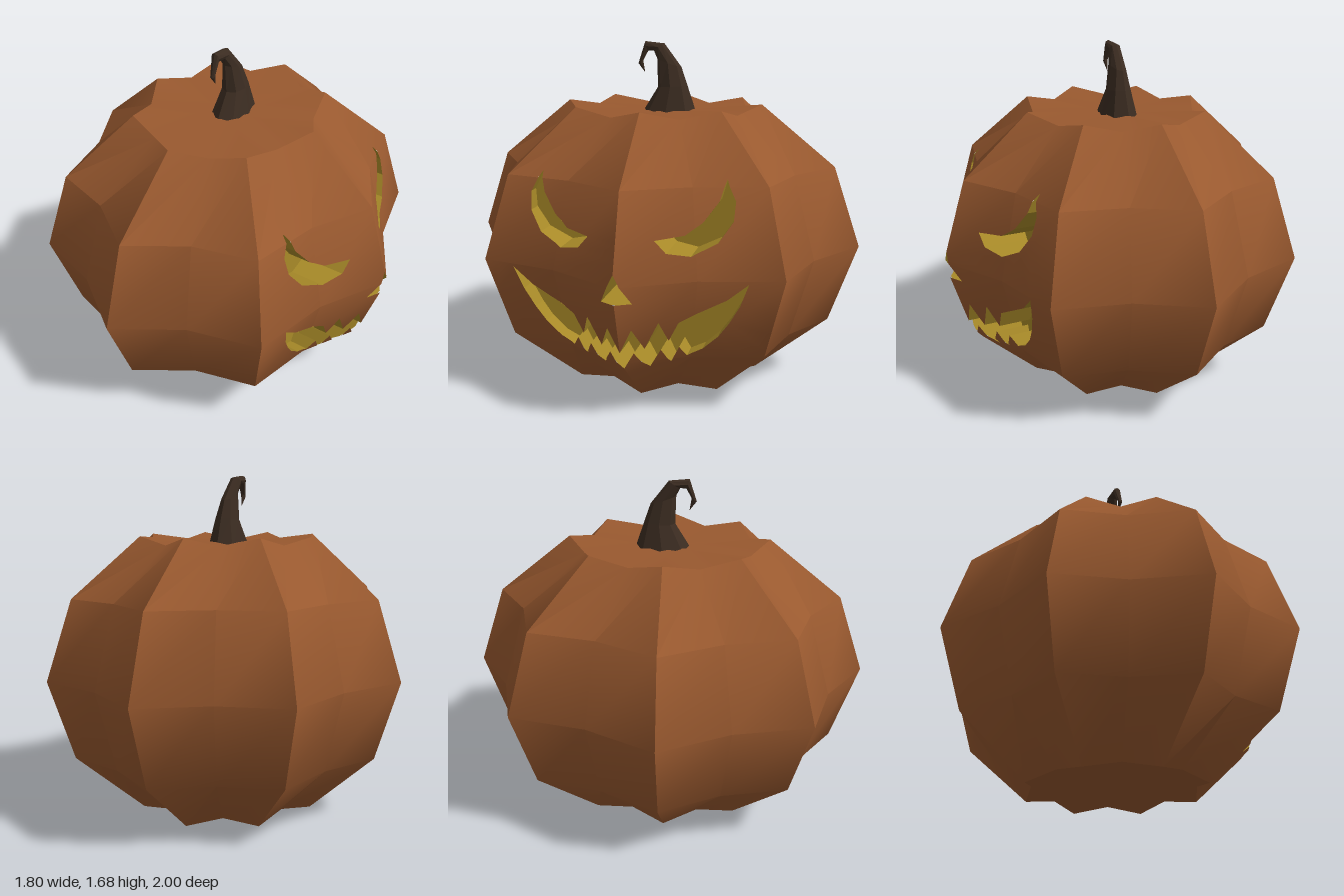
import * as THREE from 'three';
import { toCreasedNormals } from 'three/addons/utils/BufferGeometryUtils.js';

const SEG = 16, FLOOR = 0.55;

function fromPositions(pos, nor) {
  const g = new THREE.BufferGeometry();
  g.setAttribute('position', new THREE.Float32BufferAttribute(pos, 3));
  if (nor) g.setAttribute('normal', new THREE.Float32BufferAttribute(nor, 3));
  else g.computeVertexNormals();
  return g;
}

// Skin a stack of rings (listed bottom to top), closing both ends with fans
function loft(rings, bottom, top) {
  const pos = [];
  const tri = (...p) => p.forEach((v) => pos.push(...v));
  const n = rings[0].length, last = rings[rings.length - 1];
  for (let k = 0; k < n; k++) {
    const m = (k + 1) % n;
    tri(bottom, rings[0][m], rings[0][k]);
    for (let i = 0; i < rings.length - 1; i++) {
      const a = rings[i], b = rings[i + 1];
      tri(a[k], a[m], b[m]);
      tri(a[k], b[m], b[k]);
    }
    tri(last[k], last[m], top);
  }
  return fromPositions(pos);
}

// Lobed shell: eight ridges with shallow valleys between them
function bodyGeometry() {
  const profile = [[0.5, 0, 0.03], [0.865, 0.3, 0.3], [1, 0.695, 0.695], [0.865, 1.09, 1.09], [0.5, 1.385, 1.345]];
  const rings = profile.map(([r, ridgeY, valleyY]) =>
    Array.from({ length: SEG }, (_, k) => {
      const a = (k / SEG) * Math.PI * 2, valley = k % 2;
      const rr = r * (valley ? 0.868 : 1);
      return [0.907 * rr * Math.sin(a), valley ? valleyY : ridgeY, rr * Math.cos(a)];
    }));
  return toCreasedNormals(loft(rings, [0, 0.03, 0], [0, 1.34, 0]), 0.58);
}

// Carved outlines, as (z, y) pairs on the +x side
const mirror = (pts) => pts.map(([z, y]) => [-z, y]);
const eye = [[0.43, 1.12], [0.405, 1.03], [0.34, 0.94], [0.27, 0.89], [0.15, 0.877], [0.2, 0.82], [0.3, 0.8],
  [0.41, 0.855], [0.47, 0.945], [0.475, 1.03]];
const nose = [[0, 0.75], [0.07, 0.61], [-0.07, 0.61]];
const upperLip = [[0.455, 0.6], [0.245, 0.49], [0.2, 0.4], [0.165, 0.5], [0.1, 0.37], [0.055, 0.475]];
const lowerLip = [[0.055, 0.35], [0.107, 0.255], [0.165, 0.355], [0.2, 0.28], [0.24, 0.36], [0.27, 0.31],
  [0.34, 0.345], [0.41, 0.41], [0.46, 0.48], [0.51, 0.57]];
const mouth = [[0.55, 0.68], ...upperLip, [0, 0.36], ...mirror(upperLip).reverse(), [-0.55, 0.68],
  ...mirror(lowerLip).reverse(), [0, 0.255], ...lowerLip];
const carvings = { leftEye: mirror(eye), rightEye: eye, nose, mouth };

// Work in (u, v) = (-z, y), as seen when looking at the carved side
const toVectors = (pts) => pts.map(([z, y]) => new THREE.Vector2(-z, y));
const cross = (a, b, p) => (b[0] - a[0]) * (p[1] - a[1]) - (b[1] - a[1]) * (p[0] - a[0]);

function clip(poly, tri) {
  for (let e = 0; e < 3; e++) {
    const a = tri[e], b = tri[(e + 1) % 3], out = [];
    poly.forEach((p, i) => {
      const q = poly[(i + 1) % poly.length], dp = cross(a, b, p), dq = cross(a, b, q);
      if (dp >= 0) out.push(p);
      if (dp * dq < 0) {
        const t = dp / (dp - dq);
        out.push([p[0] + (q[0] - p[0]) * t, p[1] + (q[1] - p[1]) * t]);
      }
    });
    poly = out;
    if (poly.length < 3) return [];
  }
  return poly;
}

function shapeTriangles(shape) {
  const g = new THREE.ShapeGeometry(shape).toNonIndexed(), p = g.attributes.position, out = [];
  for (let i = 0; i < p.count; i += 3) out.push([0, 1, 2].map((j) => [p.getX(i + j), p.getY(i + j)]));
  return out;
}

// Cut the outlines out of the shell; also return a lookup for the surface's x
function carve(body) {
  const mask = new THREE.Shape(toVectors([[1.2, -0.2], [-1.2, -0.2], [-1.2, 1.6], [1.2, 1.6]]));
  Object.values(carvings).forEach((pts) => mask.holes.push(new THREE.Path(toVectors(pts))));
  const keep = shapeTriangles(mask);
  const P = body.attributes.position.array, N = body.attributes.normal.array;
  const pos = [], nor = [], front = [];
  const weights = (t, p) => {
    const area = cross(t[0], t[1], t[2]);
    return [cross(t[1], t[2], p) / area, cross(t[2], t[0], p) / area, cross(t[0], t[1], p) / area];
  };
  const blend = (arr, o, w) => [0, 1, 2].map((c) => arr[o + c] * w[0] + arr[o + 3 + c] * w[1] + arr[o + 6 + c] * w[2]);
  for (let o = 0; o < P.length; o += 9) {
    const [cx, cy, cz] = blend(P, o, [1 / 3, 1 / 3, 1 / 3]);
    if (cx / 0.907 < Math.abs(cz) || cy < 0.05 || cy > 1.3) {
      pos.push(...P.slice(o, o + 9));
      nor.push(...N.slice(o, o + 9));
      continue;
    }
    const t = [0, 3, 6].map((j) => [-P[o + j + 2], P[o + j + 1]]);
    front.push({ t, o });
    for (const k of keep) {
      const poly = clip(k, t);
      for (let i = 1; i < poly.length - 1; i++) {
        const fan = [poly[0], poly[i], poly[i + 1]];
        if (cross(...fan) < 1e-9) continue;
        for (const p of fan) {
          const w = weights(t, p);
          pos.push(...blend(P, o, w));
          nor.push(...blend(N, o, w));
        }
      }
    }
  }
  const surfaceX = (p) => {
    for (const { t, o } of front) {
      const w = weights(t, p);
      if (Math.min(...w) > -1e-5) return blend(P, o, w)[0];
    }
    return FLOOR;
  };
  return { geometry: fromPositions(pos, nor), surfaceX };
}

// Side walls from the carved edge down to the flat floor
function wallGeometry(pts, surfaceX) {
  const pos = [], STEPS = 5;
  pts.forEach(([z0, y0], i) => {
    const [z1, y1] = pts[(i + 1) % pts.length];
    const at = (s) => [z0 + ((z1 - z0) * s) / STEPS, y0 + ((y1 - y0) * s) / STEPS];
    for (let s = 0; s < STEPS; s++) {
      const [za, ya] = at(s), [zb, yb] = at(s + 1);
      const xa = surfaceX([-za, ya]), xb = surfaceX([-zb, yb]);
      pos.push(xa, ya, za, FLOOR, ya, za, FLOOR, yb, zb, xa, ya, za, FLOOR, yb, zb, xb, yb, zb);
    }
  });
  return fromPositions(pos);
}

// Hooked stem: each section has an inner (z, y), an outer (z, y), a half width and an x offset
function stemGeometry() {
  const sections = [
    [0.13, 1.3, -0.18, 1.3, 0.1, -0.008], [0.03, 1.46, -0.122, 1.47, 0.058, -0.008],
    [0.035, 1.6, -0.09, 1.56, 0.036, -0.012], [0.055, 1.64, 0, 1.675, 0.028, -0.022],
    [0.085, 1.637, 0.1, 1.685, 0.022, -0.025], [0.11, 1.59, 0.135, 1.575, 0.012, -0.02]];
  const rings = sections.map(([zi, yi, zo, yo, w, cx]) =>
    Array.from({ length: 8 }, (_, k) => {
      const a = (k / 8) * Math.PI * 2, c = Math.cos(a) / 2;
      return [cx + w * Math.sin(a), (yi + yo) / 2 + c * (yi - yo), (zi + zo) / 2 + c * (zi - zo)];
    }));
  return loft(rings, [0, 1.3, -0.02], [-0.02, 1.53, 0.1]);
}

export function createModel() {
  const material = (name, color, side = THREE.FrontSide) => {
    const m = new THREE.MeshStandardMaterial({ color, side });
    m.name = name;
    return m;
  };
  const shell = material('orange brown shell', 0x99592f);
  const glow = material('yellow flesh', 0xa88a28, THREE.DoubleSide);
  const bark = material('dark stem', 0x3b2c21, THREE.DoubleSide);

  const group = new THREE.Group();
  group.name = 'carvedPumpkin';
  const add = (name, geometry, mat) => {
    const mesh = new THREE.Mesh(geometry, mat);
    mesh.name = name;
    group.add(mesh);
  };

  const { geometry, surfaceX } = carve(bodyGeometry());
  add('body', geometry, shell);
  for (const [name, pts] of Object.entries(carvings)) {
    const floor = new THREE.ShapeGeometry(new THREE.Shape(toVectors(pts)));
    add(name + 'Floor', floor.rotateY(Math.PI / 2).translate(FLOOR, 0, 0), glow);
    add(name + 'Walls', wallGeometry(pts, surfaceX), glow);
  }
  add('stem', stemGeometry(), bark);
  return group;
}
